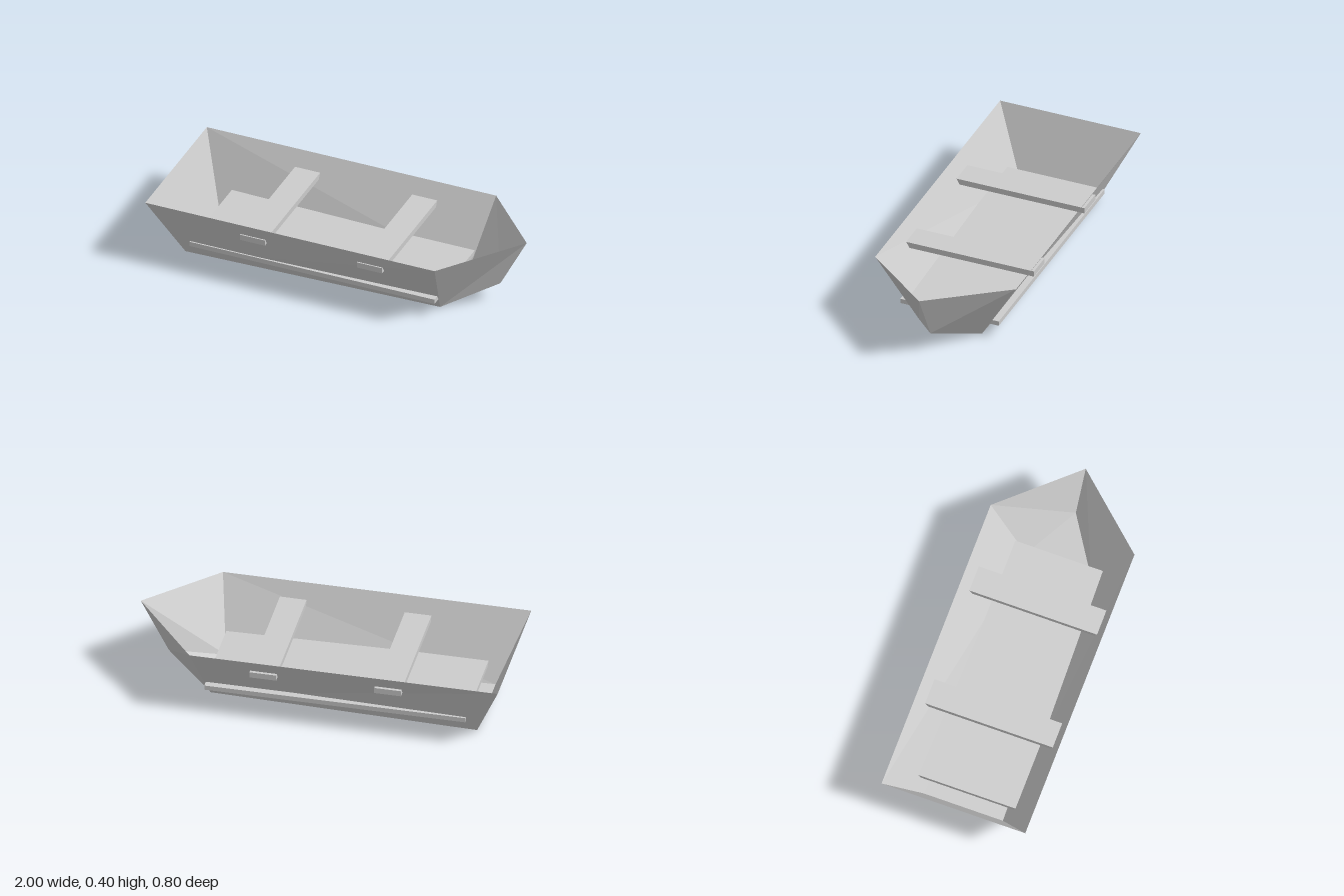
import * as THREE from 'three';

const grey = new THREE.MeshStandardMaterial({ color: 0xcccccc, flatShading: true, side: THREE.DoubleSide });
grey.name = 'grey';

// Hull corners: stern, shoulder (where the bow starts) and bow; s is the side, +1 or -1
const sternLow = (s) => [-0.85, 0, 0.22 * s];
const sternTop = (s) => [-1, 0.367, 0.4 * s];
const midLow = (s) => [0.585, 0, 0.18 * s];
const midTop = (s) => [0.65, 0.367, 0.4 * s];
const bowLow = [0.85, 0.11, 0];
const bowTop = [1, 0.397, 0];

// Thin panel from corners listed counter-clockwise as seen from outside
function panel(name, ...corners) {
  const points = [];
  for (let i = 1; i < corners.length - 1; i++) {
    points.push(...corners[0], ...corners[i], ...corners[i + 1]);
  }
  const geometry = new THREE.BufferGeometry();
  geometry.setAttribute('position', new THREE.Float32BufferAttribute(points, 3));
  geometry.computeVertexNormals();
  const mesh = new THREE.Mesh(geometry, grey);
  mesh.name = name;
  return mesh;
}

// Board given by its extents; it runs across the hull and pokes through both sides
function board(name, x0, x1, y0, y1, halfWidth) {
  const mesh = new THREE.Mesh(new THREE.BoxGeometry(x1 - x0, y1 - y0, halfWidth * 2), grey);
  mesh.position.set((x0 + x1) / 2, (y0 + y1) / 2, 0);
  mesh.name = name;
  return mesh;
}

export function createModel() {
  const boat = new THREE.Group();
  boat.name = 'rowingBoat';

  // Open hull shell
  const hull = new THREE.Group();
  hull.name = 'hull';
  hull.add(
    panel('leftSide', sternLow(1), midLow(1), midTop(1), sternTop(1)),
    panel('rightSide', midLow(-1), sternLow(-1), sternTop(-1), midTop(-1)),
    panel('frontBow', midLow(1), bowLow, bowTop, midTop(1)),
    panel('backBow', bowLow, midLow(-1), midTop(-1), bowTop),
    panel('transom', sternLow(-1), sternLow(1), sternTop(1), sternTop(-1)),
    panel('bottom', sternLow(-1), midLow(-1), midLow(1), sternLow(1)),
    panel('bowBottom', midLow(-1), bowLow, midLow(1)),
  );
  boat.add(hull);

  // Floor and two bench seats
  boat.add(board('floor', -0.8, 0.597, 0.08, 0.106, 0.28));
  for (const x of [-0.475, 0.193]) {
    boat.add(board('seat', x, x + 0.143, 0.253, 0.285, 0.367));
  }
  return boat;
}
